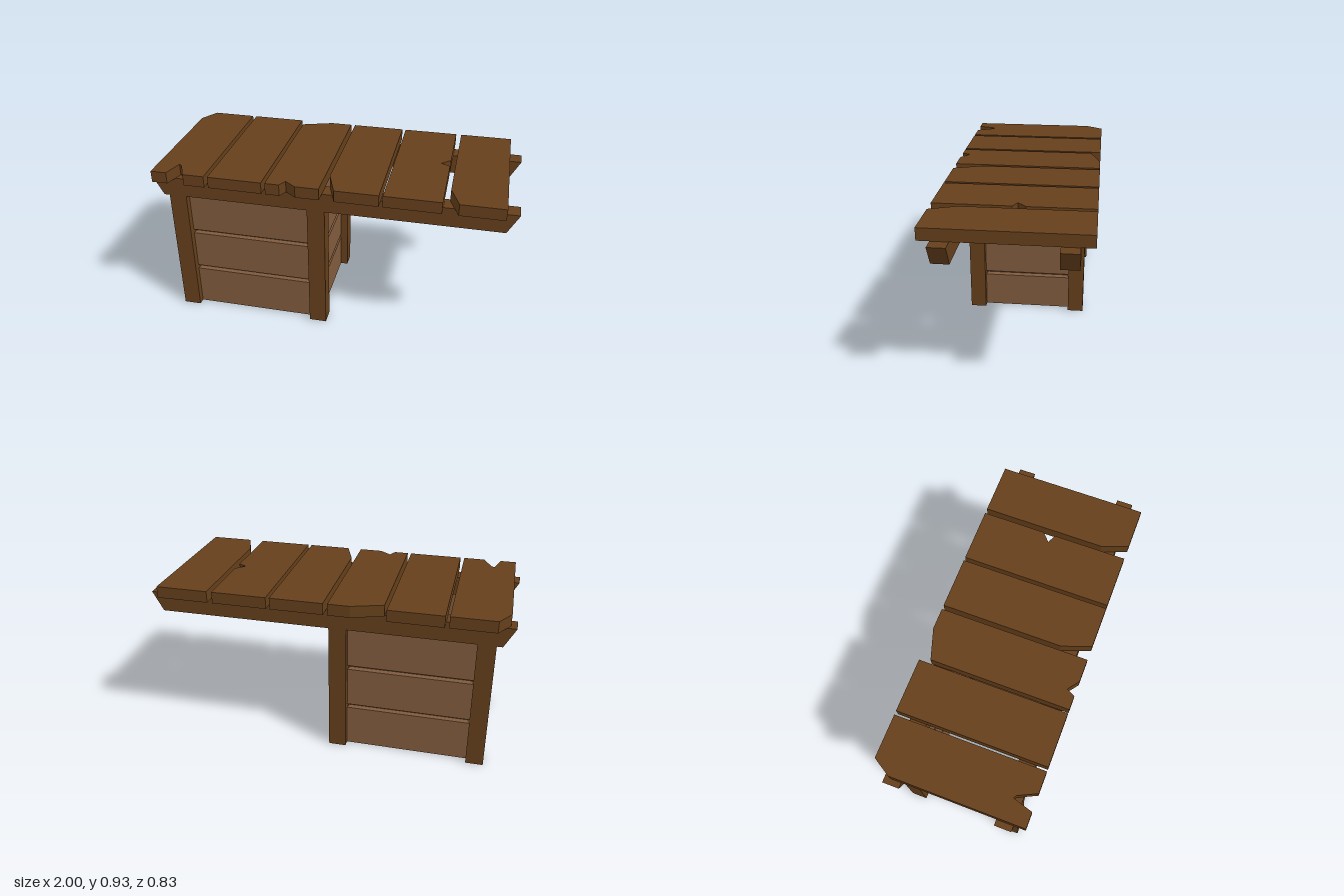
import * as THREE from 'three';
import { ConvexGeometry } from 'three/addons/geometries/ConvexGeometry.js';

const darkWood = new THREE.MeshStandardMaterial({ color: 0x653f1b });
const lightWood = new THREE.MeshStandardMaterial({ color: 0x815b3d });

function addMesh(parent, name, geometry, material) {
  const mesh = new THREE.Mesh(geometry, material);
  mesh.name = name;
  parent.add(mesh);
  return mesh;
}

function extrude(points, depth) {
  const shape = new THREE.Shape(points.map(([x, y]) => new THREE.Vector2(x, y)));
  return new THREE.ExtrudeGeometry(shape, { depth, bevelEnabled: false });
}

// Board along x whose joined edges taper to a ridge that stops short of the ends
function boardGeometry(length, y0, y1, thickness, bevelBottom, bevelTop) {
  const b = 0.012, half = length / 2, points = [];
  for (const x of [-1, 1]) {
    for (const z of [-thickness / 2, thickness / 2]) {
      points.push(new THREE.Vector3(x * half, bevelBottom ? y0 + b : y0, z));
      points.push(new THREE.Vector3(x * half, bevelTop ? y1 - b : y1, z));
    }
    if (bevelBottom) points.push(new THREE.Vector3(x * (half - b), y0, 0));
    if (bevelTop) points.push(new THREE.Vector3(x * (half - b), y1, 0));
  }
  return new ConvexGeometry(points);
}

// Wall of stacked boards, centred on its own origin
function createPanel(name, length, height, count) {
  const panel = new THREE.Group();
  panel.name = name;
  const step = height / count;
  for (let i = 0; i < count; i++) {
    const geometry = boardGeometry(length, i * step, (i + 1) * step, 0.03, i > 0, i < count - 1);
    addMesh(panel, 'panelBoard', geometry, lightWood);
  }
  return panel;
}

export function createModel() {
  const model = new THREE.Group();
  model.name = 'woodenWorkTable';

  const postX = [-0.86, -0.068], postZ = 0.304;
  const postW = 0.098, postD = 0.092, railBottom = 0.755, topY = 0.865;

  for (const side of [-1, 1]) {
    // Corner posts
    for (const x of postX) {
      const post = addMesh(model, 'post', new THREE.BoxGeometry(postW, railBottom, postD), darkWood);
      post.position.set(x, railBottom / 2, side * postZ);
    }
    // Long rail with slanted ends
    const rail = addMesh(model, 'rail', extrude(
      [[-0.94, railBottom], [0.94, railBottom], [1, topY], [-1, topY]], postD), darkWood);
    rail.position.z = side * postZ - postD / 2;
  }

  // Cabinet walls between the posts
  const midX = (postX[0] + postX[1]) / 2;
  const spanX = postX[1] - postX[0] - postW;
  const spanZ = 2 * postZ - postD;
  for (const side of [-1, 1]) {
    const longWall = createPanel(side > 0 ? 'frontPanel' : 'backPanel', spanX, railBottom, 3);
    longWall.position.set(midX, 0, side * 0.295);
    if (side < 0) longWall.rotation.y = Math.PI;
    const endWall = createPanel(side > 0 ? 'leftPanel' : 'rightPanel', spanZ, topY, 4);
    endWall.position.set(midX + side * 0.387, 0, 0);
    endWall.rotation.y = side * Math.PI / 2;
    model.add(longWall, endWall);
  }

  // Worn top planks, outlined as [x, z] and going round from the back left corner
  const back = -0.42, front = 0.415;
  const planks = [
    [[-0.968, -0.32], [-0.907, back], [-0.666, back], [-0.666, front], [-0.784, front],
      [-0.832, 0.315], [-0.848, 0.305], [-0.88, front], [-0.968, front]],
    [[-0.644, back], [-0.345, back], [-0.345, front], [-0.644, front]],
    [[-0.324, -0.363], [-0.152, back], [-0.032, back], [-0.032, front], [-0.16, front],
      [-0.222, 0.368], [-0.246, front], [-0.324, front]],
    [[-0.008, back], [0.285, back], [0.285, front], [0.048, front], [-0.008, 0.257]],
    [[0.305, back], [0.61, back], [0.61, -0.064], [0.561, -0.019], [0.61, 0.005],
      [0.61, front], [0.305, front]],
    [[0.639, back], [0.93, back], [0.93, front], [0.693, front], [0.639, 0.27]],
  ];
  for (const outline of planks) {
    const geometry = extrude(outline.map(([x, z]) => [x, -z]), 0.065);
    geometry.rotateX(-Math.PI / 2);
    addMesh(model, 'topPlank', geometry, darkWood).position.y = topY;
  }

  return model;
}
